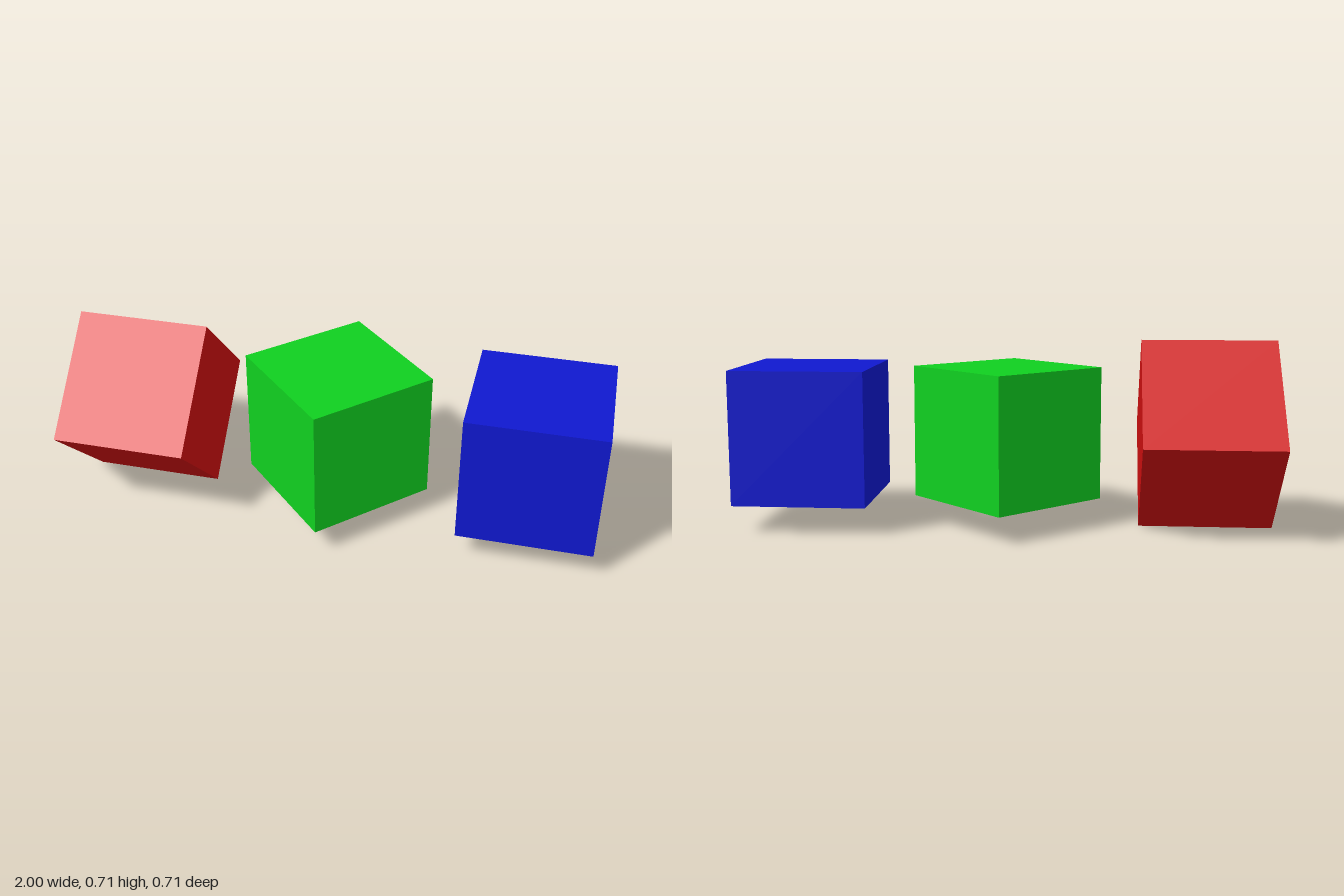
import * as THREE from 'three';

const SIZE = 0.5;
const CENTRE_Y = SIZE * Math.SQRT1_2; // the tilted cube rests on its edge

function cube(name, color, x, rotX = 0, rotY = 0) {
  const mesh = new THREE.Mesh(
    new THREE.BoxGeometry(SIZE, SIZE, SIZE),
    new THREE.MeshStandardMaterial({ color })
  );
  mesh.name = name;
  mesh.position.set(x, CENTRE_Y, 0);
  mesh.rotation.set(rotX, rotY, 0);
  return mesh;
}

export function createModel() {
  const group = new THREE.Group();
  group.name = 'threeCubes';
  group.add(
    cube('redCubeTurnedAboutX', 0xd01010, -0.75, Math.PI / 4),
    cube('greenCubeTurnedAboutY', 0x10d020, 0, 0, Math.PI / 4),
    cube('blueCubeUpright', 0x1018d0, 0.75)
  );
  return group;
}
